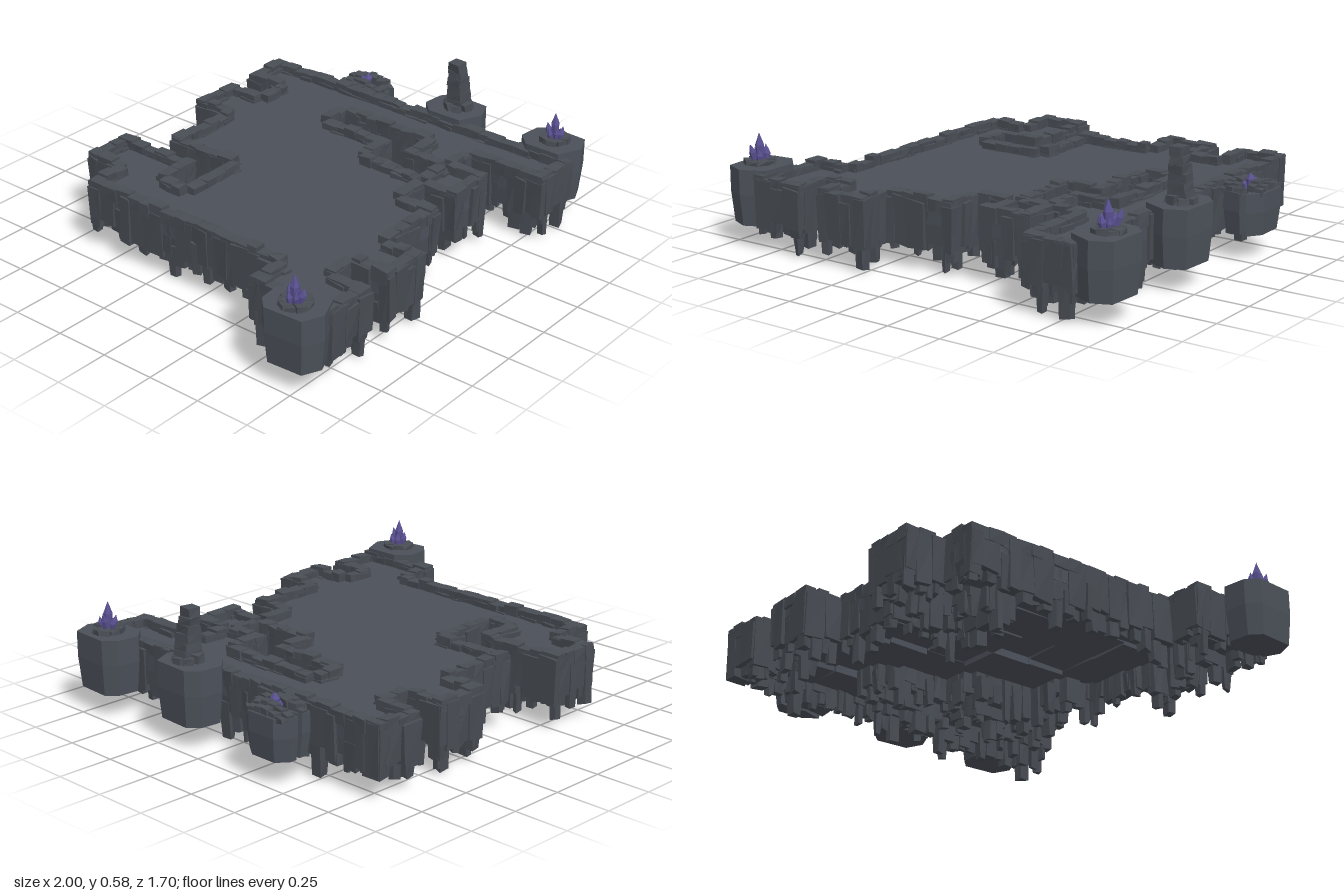
import * as THREE from 'three';
import { mergeGeometries } from 'three/addons/utils/BufferGeometryUtils.js';

// Floor outline as [x, z]; solid ground lies on the left of each step
const OUTLINE = [
  [-0.66, -0.65], [-0.48, -0.65], [-0.48, -0.83], [-0.25, -0.83], [-0.25, -0.42], [-0.43, -0.42],
  [-0.43, -0.3], [-0.14, -0.3], [-0.14, -0.65], [0.22, -0.65], [0.22, -0.83], [0.46, -0.83],
  [0.46, -0.65], [0.595, -0.65], [0.595, -0.83], [0.81, -0.83], [0.81, 0.83], [0.585, 0.83],
  [0.585, 0.46], [0.46, 0.46], [0.46, 0.63], [0.23, 0.63], [0.23, 0.46], [0.09, 0.46],
  [0.09, 0.64], [-0.25, 0.64], [-0.25, 0.81], [-0.47, 0.81], [-0.47, 0.635], [-0.59, 0.635],
  [-0.59, 0.81], [-0.83, 0.81], [-0.83, 0.41], [-0.66, 0.41],
];
const HOLE = [
  [0.46, 0.11], [0.29, 0.11], [0.29, 0.41], [0.41, 0.41],
  [0.41, 0.23], [0.58, 0.23], [0.58, -0.24], [0.46, -0.24],
];
const PLATFORM = [
  [-0.11, -0.08], [-0.06, -0.13], [0.04, -0.14], [0.1, -0.08],
  [0.1, 0.09], [-0.01, 0.14], [-0.1, 0.1],
];
const FLOOR = 0.29;

let seed = 7;
function rand(a = 0, b = 1) {
  seed = (seed * 16807) % 2147483647;
  return a + (b - a) * (seed / 2147483647);
}

function flat(geometry) {
  const g = geometry.index ? geometry.toNonIndexed() : geometry;
  g.computeVertexNormals();
  return g;
}

// Rough block from y0 to y1, with a narrower foot and shifted corners
function block(x, z, y0, y1, w, d, angle = 0, foot = 1, jitter = 0.006) {
  const g = new THREE.BoxGeometry(w, y1 - y0, d);
  const p = g.attributes.position;
  const shift = Array.from({ length: 8 }, () => [rand(-jitter, jitter), rand(-jitter, jitter), rand(-jitter, jitter)]);
  for (let i = 0; i < p.count; i++) {
    const low = p.getY(i) < 0;
    const s = shift[(p.getX(i) > 0 ? 1 : 0) + (low ? 2 : 0) + (p.getZ(i) > 0 ? 4 : 0)];
    const k = low ? foot : 1;
    p.setXYZ(i, p.getX(i) * k + s[0], p.getY(i) + s[1], p.getZ(i) * k + s[2]);
  }
  g.rotateY(angle);
  g.translate(x, (y0 + y1) / 2, z);
  return flat(g);
}

// Upright prism of a plan shape, tapering towards its foot
function prism(points, x, z, y0, y1, foot = 1, holes = []) {
  const shape = new THREE.Shape(points.map(([a, b]) => new THREE.Vector2(a, b)));
  for (const h of holes) shape.holes.push(new THREE.Path(h.map(([a, b]) => new THREE.Vector2(a, b))));
  const g = new THREE.ExtrudeGeometry(shape, { depth: y1 - y0, bevelEnabled: false });
  g.rotateX(Math.PI / 2);
  const p = g.attributes.position;
  for (let i = 0; i < p.count; i++) {
    if (p.getY(i) < -0.001) { p.setX(i, p.getX(i) * foot); p.setZ(i, p.getZ(i) * foot); }
  }
  g.translate(x, y1, z);
  return flat(g);
}

// Straight upper body over a tapered foot
function pedestal(points, x, z, y0, y1) {
  const waist = y0 + (y1 - y0) * 0.55;
  return [prism(points, x, z, waist, y1), prism(points, x, z, y0, waist, 0.9)];
}

function inside([x, z], poly) {
  let hit = false;
  for (let i = 0, j = poly.length - 1; i < poly.length; j = i++) {
    const [ax, az] = poly[i], [bx, bz] = poly[j];
    if ((az > z) !== (bz > z) && x < ((bx - ax) * (z - az)) / (bz - az) + ax) hit = !hit;
  }
  return hit;
}

// Visits uneven steps along every edge of a loop
function alongEdges(loop, minStep, maxStep, visit) {
  loop.forEach(([ax, az], i) => {
    const [bx, bz] = loop[(i + 1) % loop.length];
    const length = Math.hypot(bx - ax, bz - az);
    const dx = (bx - ax) / length, dz = (bz - az) / length;
    for (let t = 0; t < length - 0.005;) {
      let w = rand(minStep, maxStep);
      if (length - t - w < minStep * 0.6) w = length - t;
      const m = t + w / 2;
      // Position at a given distance in from the edge
      const at = (inset) => [ax + dx * m - dz * inset, az + dz * m + dx * inset];
      visit(at, w, Math.atan2(-dz, dx));
      t += w;
    }
  });
}

function stoneRing(x, z, y, radius, count, low, high) {
  const list = [];
  for (let i = 0; i < count; i++) {
    const a = (i / count) * Math.PI * 2;
    list.push(block(x + Math.cos(a) * radius, z + Math.sin(a) * radius, y - 0.005, y + rand(low, high),
      0.048, 0.042, -a, 1.05, 0.004));
  }
  return list;
}

function crystalCluster(x, z, y, count, height) {
  const list = [];
  for (let i = 0; i < count; i++) {
    const a = i * 2.4;
    const h = i === 0 ? height : height * rand(0.5, 0.8);
    const r = i === 0 ? 0.02 : rand(0.012, 0.016);
    const profile = [[0, 0], [r * 0.75, 0], [r, h * 0.6], [0, h]].map(([u, v]) => new THREE.Vector2(u, v));
    const g = new THREE.LatheGeometry(profile, 6);
    const out = i === 0 ? 0 : 0.024;
    g.rotateZ(i === 0 ? 0.03 : -rand(0.1, 0.3));
    g.rotateY(-a);
    g.translate(x + Math.cos(a) * out, y, z + Math.sin(a) * out);
    list.push(flat(g));
  }
  return list;
}

export function createModel() {
  const group = new THREE.Group();
  const material = (name, color) => Object.assign(new THREE.MeshStandardMaterial({ color }), { name });
  const slate = material('slate', 0x4b5059);
  const rock = material('rock', 0x484d54);
  const violet = material('violet crystal', 0x5a5192);
  const add = (name, parts, mat) => {
    const mesh = new THREE.Mesh(mergeGeometries(parts), mat);
    mesh.name = name;
    group.add(mesh);
  };

  // Floor slab with its inner opening
  add('floor', [prism(OUTLINE, 0, 0, 0.21, FLOOR, 1, [HOLE])], slate);

  // Uneven paving seen from underneath
  const tiles = [];
  const size = 0.2;
  const spots = [-0.098, 0, 0.098];
  for (let x = -0.72; x < 0.8; x += size) {
    for (let z = -0.72; z < 0.8; z += size) {
      const samples = spots.flatMap((a) => spots.map((b) => [x + a, z + b]));
      if (samples.every((s) => inside(s, OUTLINE) && !inside(s, HOLE))) {
        tiles.push(block(x, z, rand(0.165, 0.2), 0.25, size - 0.004, size - 0.004, 0, 1, 0.004));
      }
    }
  }
  add('undersideTiles', tiles, slate);

  // Rim stones, cliff slabs and hanging shards around every edge
  const rim = [], cliff = [], shards = [];
  for (const loop of [OUTLINE, HOLE]) {
    alongEdges(loop, 0.045, 0.085, (at, w, angle) => {
      rim.push(block(...at(0.02 + rand(-0.004, 0.004)), 0.27, rand(0.318, 0.335), w + 0.004, 0.052, angle, 1, 0.004));
    });
    alongEdges(loop, 0.04, 0.1, (at, w, angle) => {
      cliff.push(block(...at(0.024 + rand(-0.012, 0.006)), rand(0.09, 0.15), rand(0.29, 0.32),
        w + 0.012, 0.058, angle, 0.88));
    });
    alongEdges(loop, 0.03, 0.065, (at, w, angle) => {
      shards.push(block(...at(0.03 + rand(-0.015, 0.018)), rand() < 0.15 ? rand(0.006, 0.03) : rand(0.045, 0.11),
        rand(0.17, 0.27), w, rand(0.035, 0.055), angle + rand(-0.1, 0.1), rand(0.6, 0.85)));
    });
  }
  add('rimStones', rim, rock);
  add('cliffSlabs', cliff, rock);
  add('hangingShards', shards, rock);

  // Outlying platforms
  const mirrored = PLATFORM.map(([x, z]) => [-x, z]).reverse();
  add('platforms', [
    ...pedestal(PLATFORM, -0.89, 0.7, 0.1, 0.35),
    ...pedestal(mirrored, 0.875, 0.7, 0.1, 0.35),
    ...pedestal(mirrored, 0.875, 0.17, 0.1, 0.35),
  ], slate);

  // Broken platform split by a crack
  const halves = [
    [[-0.085, -0.03], [-0.06, -0.12], [-0.015, -0.12], [0, -0.04], [-0.01, 0.02], [0.02, 0.13], [-0.06, 0.12], [-0.09, 0.07]],
    [[0.01, -0.125], [0.05, -0.125], [0.1, -0.08], [0.1, 0.06], [0.05, 0.13], [0.035, 0.08], [0.012, 0.02], [0.022, -0.04]],
  ];
  add('brokenPlatform', halves.flatMap((half) => pedestal(half, 0.9, -0.37, 0.11, 0.295)), slate);
  // Cobbles heaped highest at the middle
  const rubble = [];
  for (let x = -0.07; x < 0.09; x += 0.036) {
    for (let z = -0.1; z < 0.12; z += 0.04) {
      if (halves.some((half) => inside([x, z], half))) {
        rubble.push(block(0.9 + x, -0.37 + z, 0.28, 0.35 - Math.hypot(x, z) * 0.35 - rand(0, 0.006),
          0.034, 0.038, rand(-0.2, 0.2), 1.05, 0.004));
      }
    }
  }
  add('rubble', rubble, rock);

  // Crystals standing in rings of stones
  add('crystalStones', [-0.905, 0.885].flatMap((x) => stoneRing(x, 0.7, 0.355, 0.043, 9, 0.012, 0.022)), rock);
  add('crystals', [
    ...crystalCluster(-0.905, 0.7, 0.35, 7, 0.135),
    ...crystalCluster(0.885, 0.7, 0.35, 7, 0.135),
    ...crystalCluster(0.905, -0.36, 0.29, 3, 0.07),
  ], violet);

  // Ruined pillar of stacked stones, worn away on one side
  const pillar = stoneRing(0.887, 0.175, 0.355, 0.042, 7, 0.02, 0.032);
  for (let i = 0; i < 6; i++) {
    const y = 0.36 + i * 0.036;
    pillar.push(block(0.888 - i * 0.003, 0.178 - i * 0.001, y, y + 0.038, 0.086 - i * 0.006, 0.072 - i * 0.002,
      rand(-0.1, 0.1), 1.03, 0.004));
  }
  add('pillar', pillar, rock);

  return group;
}
